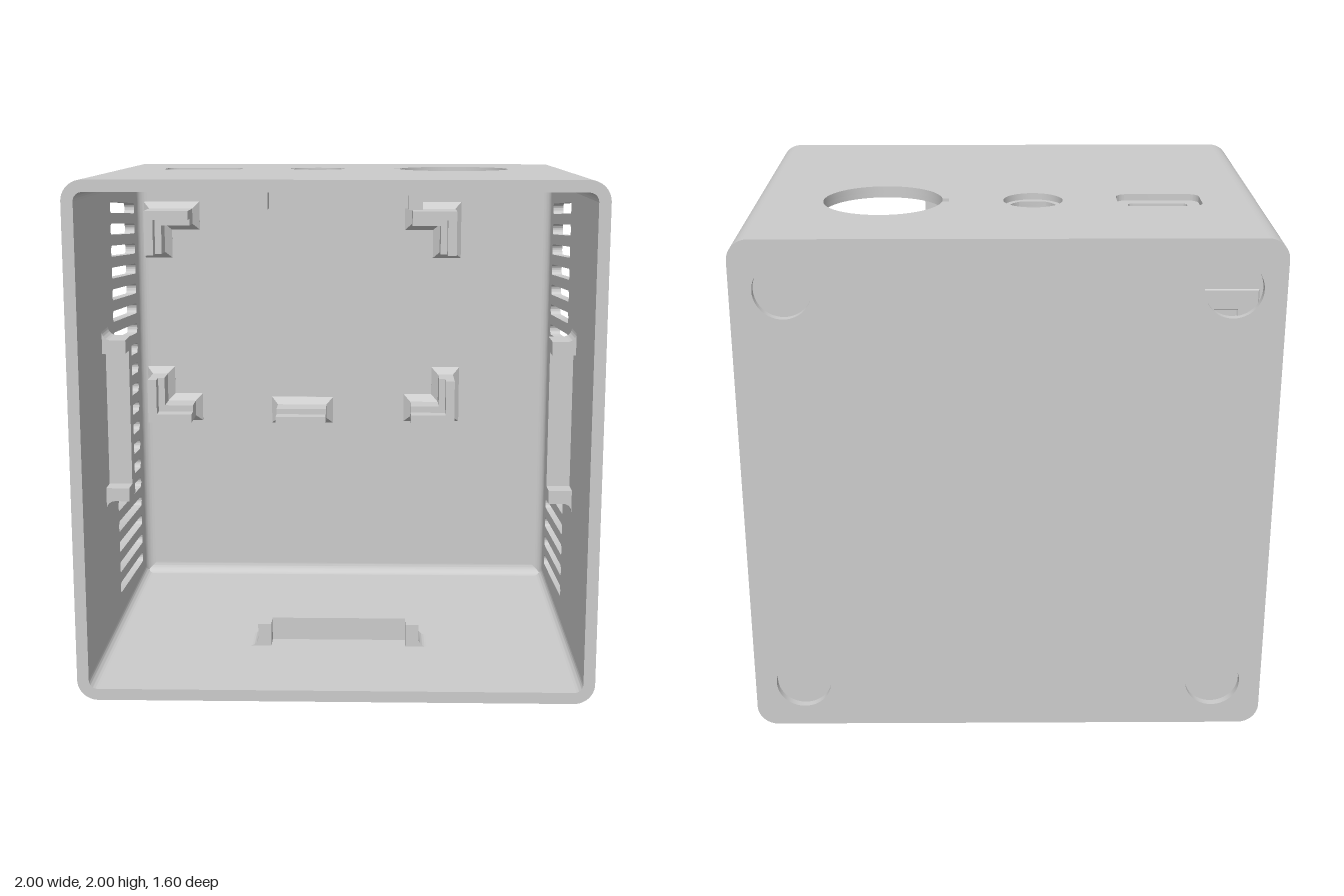
import * as THREE from 'three';
import { toCreasedNormals, mergeGeometries } from 'three/addons/utils/BufferGeometryUtils.js';

const W = 0.045;      // wall thickness
const R = 0.08;       // outer corner radius
const INNER = 1 - W;  // half width of the cavity
const BACK = -0.74;   // inner face of the back wall

const V = (x, y) => new THREE.Vector2(x, y);
const poly = (pts) => new THREE.Shape(pts.map(([x, y]) => V(x, y)));

function extrude(shape, depth, extra = {}) {
  const g = new THREE.ExtrudeGeometry(shape, { depth, bevelEnabled: false, curveSegments: 12, ...extra });
  return toCreasedNormals(g, 0.6);
}

function box(x0, x1, y0, y1, z0, z1) {
  return new THREE.BoxGeometry(x1 - x0, y1 - y0, z1 - z0)
    .translate((x0 + x1) / 2, (y0 + y1) / 2, (z0 + z1) / 2).toNonIndexed();
}

function roundRect(x0, x1, y0, y1, r, P = THREE.Shape) {
  const s = new P();
  s.absarc(x1 - r, y1 - r, r, 0, Math.PI / 2);
  s.absarc(x0 + r, y1 - r, r, Math.PI / 2, Math.PI);
  s.absarc(x0 + r, y0 + r, r, Math.PI, Math.PI * 1.5);
  s.absarc(x1 - r, y0 + r, r, Math.PI * 1.5, Math.PI * 2);
  s.closePath();
  return s;
}

function circle(x, y, r) {
  const p = new THREE.Path();
  p.absarc(x, y, r, 0, Math.PI * 2);
  return p;
}

// Capsule-shaped hole between two centres
function slot(x0, y0, x1, y1, r) {
  const a = Math.atan2(y1 - y0, x1 - x0), h = Math.PI / 2;
  const p = new THREE.Path();
  p.absarc(x0, y0, r, a + h, a + 3 * h);
  p.absarc(x1, y1, r, a - h, a + h);
  p.closePath();
  return p;
}

export function createModel() {
  const model = new THREE.Group();
  const mat = new THREE.MeshStandardMaterial({ color: 0xcccccc });
  const add = (name, geo, parent = model) => {
    const m = new THREE.Mesh(geo, mat);
    m.name = name;
    parent.add(m);
    return m;
  };

  // Side walls with a ladder of sloping vents
  const side = poly([[-0.8, R], [-BACK, R], [-BACK, 2 - R], [-0.8, 2 - R]]);
  for (let i = 0; i < 19; i++) {
    const y = 1.85 - i * 0.0917;
    side.holes.push(slot(0, y, 0.592, y - 0.042, 0.023));
  }
  const sideGeo = extrude(side, W).rotateY(Math.PI / 2);
  add('leftWall', sideGeo).position.x = INNER;
  add('rightWall', sideGeo).position.x = -1;

  // Top wall in two layers, giving the stepped recesses
  const topLayer = (y, depth, socket, button) => {
    const s = poly([[R - 1, BACK], [1 - R, BACK], [1 - R, 0.8], [R - 1, 0.8]]);
    const dial = new THREE.Path();
    const a = Math.asin(0.025 / 0.23);
    dial.absarc(0.48, -0.23, 0.23, -Math.PI + a, Math.PI - a);
    dial.lineTo(0.225, -0.205);
    dial.lineTo(0.225, -0.255);
    dial.closePath();
    s.holes.push(socket, button, dial);
    add('topWall', extrude(s, depth, { curveSegments: 32 }).rotateX(Math.PI / 2)).position.y = y;
  };
  topLayer(2, 0.025, roundRect(-0.75, -0.425, -0.33, -0.14, 0.045, THREE.Path), circle(-0.1, -0.235, 0.115));
  const f = Math.asin(0.077 / 0.092);
  const flatted = new THREE.Path();
  flatted.absarc(-0.1, -0.235, 0.092, -f, f);
  flatted.absarc(-0.1, -0.235, 0.092, Math.PI - f, Math.PI + f);
  flatted.closePath();
  topLayer(1.975, 0.02, roundRect(-0.7, -0.47, -0.28, -0.19, 0.02, THREE.Path), flatted);

  // Bottom wall
  add('bottomWall', box(R - 1, 1 - R, 0, W, BACK, 0.8));

  // Back wall with four shallow round foot recesses
  const plate = roundRect(-1, 1, 0, 2, R);
  add('backWall', extrude(plate, 0.03)).position.z = BACK - 0.03;
  const pocketed = roundRect(-1, 1, 0, 2, R);
  for (const x of [-0.81, 0.81]) for (const y of [0.19, 1.81]) pocketed.holes.push(circle(x, y, 0.107));
  add('backFootRecesses', extrude(pocketed, 0.03, { curveSegments: 24 })).position.z = -0.8;

  // Rounded corner, for the upper left edge of the box about its centre
  const corner = new THREE.Shape();
  corner.absarc(1 - R, 1 - R, R, 0, Math.PI / 2);
  corner.absarc(1 - R, 1 - R, R - W, Math.PI / 2, 0, true);
  corner.closePath();
  const cornerGeo = extrude(corner, 0.8 - BACK).translate(0, 0, BACK);

  // Cove where a wall meets the back
  const cove = new THREE.Shape();
  const c = 0.045;
  cove.moveTo(0, 0);
  cove.lineTo(c, 0);
  cove.absarc(c, c, c, Math.PI * 1.5, Math.PI, true);
  cove.closePath();
  const coveGeo = extrude(cove, 2 * INNER).rotateY(-Math.PI / 2)
    .translate(INNER, -INNER, BACK);

  // Retaining clip: a bar with two forward arms, footed on the wall
  const arm = new THREE.Shape();
  arm.moveTo(0.28, -INNER);
  arm.lineTo(0.37, -INNER);
  arm.absarc(0.37, -INNER + 0.035, 0.035, Math.PI * 1.5, Math.PI, true);
  arm.lineTo(0.335, -0.86);
  arm.lineTo(0.28, -0.86);
  arm.closePath();
  const armGeo = extrude(arm, 0.15).translate(0, 0, 0.15);
  const clipGeo = mergeGeometries([
    box(-0.28, 0.28, -INNER, -0.86, 0.15, 0.22),
    armGeo,
    armGeo.clone().rotateY(Math.PI).translate(0, 0, 0.45),
  ]);

  // Repeat corner, cove and clip around the four walls
  for (let i = 0; i < 4; i++) {
    const g = new THREE.Group();
    g.name = 'wallDetails';
    g.position.y = 1;
    g.rotation.z = i * Math.PI / 2;
    add('roundedCorner', cornerGeo, g);
    add('backCove', coveGeo, g);
    add('retainingClip', clipGeo, g);
    model.add(g);
  }

  // Board holders on the back wall: flared foot, ledge and taller outer lip
  const holder = (name, foot, lip, x, y, sx, sy) => {
    const place = (pts) => {
      const p = pts.map(([u, v]) => [x + u * sx, y + v * sy]);
      return poly(sx * sy < 0 ? p.reverse() : p);
    };
    const parts = [
      extrude(place(foot), 0.15).translate(0, 0, BACK),
      extrude(place(lip), 0.215).translate(0, 0, BACK),
      extrude(place(foot), 0.001, {
        bevelEnabled: true, bevelThickness: 0.035, bevelSize: 0.03, bevelSegments: 1,
      }).translate(0, 0, BACK),
    ];
    add(name, mergeGeometries(parts));
  };
  const ell = (t) => [[0, 0], [0.2, 0], [0.2, t], [t, t], [t, 0.2], [0, 0.2]];
  const bar = (t) => [[0, 0], [0.23, 0], [0.23, t], [0, t]];
  for (const [x, sx] of [[-0.9, 1], [0.515, -1]])
    for (const [y, sy] of [[0.825, 1], [1.8, -1]])
      holder('boardCorner', ell(0.07), ell(0.04), x, y, sx, sy);
  holder('boardRest', bar(0.065), bar(0.04), -0.31, 0.815, 1, 1);

  return model;
}
